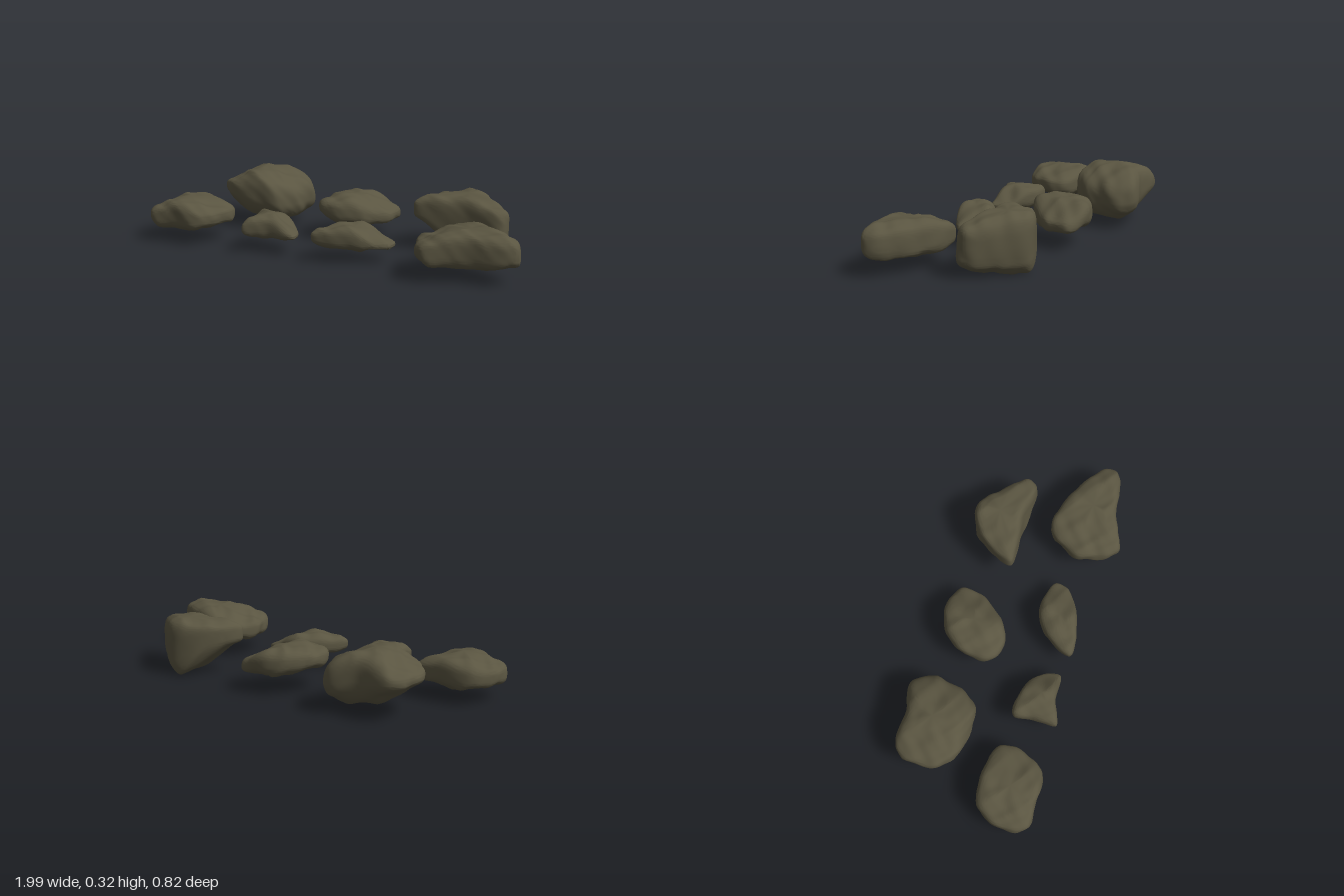
import * as THREE from 'three';
import { mergeVertices, toCreasedNormals } from 'three/addons/utils/BufferGeometryUtils.js';
import { ParametricGeometry } from 'three/addons/geometries/ParametricGeometry.js';

// Height at x, eased between values at the rock's left end, middle and right end
function heightAt([start, middle, end], t) {
  const { lerp, smoothstep } = THREE.MathUtils;
  return t < 0.5
    ? lerp(start, middle, smoothstep(t, 0, 0.5))
    : lerp(middle, end, smoothstep(t, 0.5, 1));
}

// Worn lumps and ridges
function lumps(x, y, z, s) {
  const broad = Math.sin(x * 0.27 + z * 0.15 + s) * Math.cos(z * 0.3 - y * 0.2 + s * 2);
  const ridge = 1 - 2 * Math.abs(Math.sin(x * 0.16 - z * 0.21 + y * 0.13 + s * 3));
  const fine = Math.sin(x * 0.6 + y * 0.5 + s) * Math.sin(z * 0.65 - y * 0.3 + s);
  return broad * 0.7 + ridge * 0.5 + fine * 0.3;
}

// Rock from a plan outline (x,z pairs), bottom and top heights along x, all in
// hundredths, and roundness of the upper and lower halves (lower is blockier)
function rockGeometry(outline, bottoms, tops, over, under) {
  const points = [];
  for (let i = 0; i < outline.length; i += 2) {
    points.push(new THREE.Vector3(outline[i], 0, outline[i + 1]));
  }
  const curve = new THREE.CatmullRomCurve3(points.reverse(), true);
  const bounds = new THREE.Box3().setFromPoints(points);
  const centre = bounds.getCenter(new THREE.Vector3());
  const width = bounds.max.x - bounds.min.x;

  const surface = (u, v, target) => {
    const rim = curve.getPoint(u % 1);
    const angle = (v - 0.5) * Math.PI;
    const roundness = angle > 0 ? over : under;
    const spread = v === 0 || v === 1 ? 0 : Math.pow(Math.cos(angle), roundness);
    const rise = Math.sign(angle) * Math.pow(Math.abs(Math.sin(angle)), roundness + 0.15);
    const x = centre.x + (rim.x - centre.x) * spread;
    const z = centre.z + (rim.z - centre.z) * spread;
    const t = (x - bounds.min.x) / width;
    const bottom = heightAt(bottoms, t);
    const top = heightAt(tops, t);
    const y = (bottom + top) / 2 + ((top - bottom) / 2) * rise;
    const lump = lumps(x, y, z, centre.x);
    const squeeze = 1 + (lump - 0.6) * 0.025;
    target.set(
      centre.x + (x - centre.x) * squeeze,
      Math.max(0, y + lump * 0.8 * rise),
      centre.z + (z - centre.z) * squeeze,
    ).multiplyScalar(0.01);
  };

  const geometry = new ParametricGeometry(surface, 80, 40);
  geometry.deleteAttribute('uv');
  geometry.deleteAttribute('normal');
  return toCreasedNormals(mergeVertices(geometry, 1e-5), 0.9);
}

export function createModel() {
  const group = new THREE.Group();
  group.name = 'rockSet';
  const stone = new THREE.MeshStandardMaterial({ color: 0x5a5541 });
  stone.name = 'olive stone';

  const addRock = (name, outline, bottoms, tops, over, under = over) => {
    const mesh = new THREE.Mesh(rockGeometry(outline, bottoms, tops, over, under), stone);
    mesh.name = name;
    group.add(mesh);
  };

  // Back row
  addRock('backRightBoulder',
    [-78, -37, -58, -38, -44, -41, -37, -35, -38, -16, -47, -5, -74, -8, -82, -18],
    [14, 5, 2], [25, 32, 27], 0.5, 0.85);
  addRock('backMiddleRock',
    [-13, -31, -1, -36, 14, -32, 14, -20, -5, -2, -19, -4, -21, -18],
    [12, 9, 8], [23, 24, 17], 0.52);
  addRock('backLeftBoulder',
    [31, -10, 42, -30, 57, -36, 69, -27, 80, -15, 79, -9, 55, -10],
    [16, 1, 4], [28, 29.5, 26], 0.3);

  // Front row
  addRock('frontRightRock',
    [-100, 24, -92, 8, -60, 11, -66, 34, -85, 36, -96, 35],
    [8, 7, 9], [19, 23, 19], 0.42);
  addRock('smallJaggedRock',
    [-44, 13, -34, 12, -19, 19, -16, 30, -30, 31, -43, 35, -43, 24],
    [8, 8, 8], [19, 20, 13], 0.52);
  addRock('smallWedgeRock',
    [-6, 32, 2, 17, 14, 10, 32, 14, 30, 22, 15, 30],
    [8, 7, 7], [18, 19, 12], 0.5);
  addRock('frontLeftBoulder',
    [47, 20, 58, 4, 83, 11, 100, 25, 95, 32, 74, 35, 56, 41, 49, 31],
    [9, 7, 8], [20, 25, 24], 0.4);
  return group;
}
